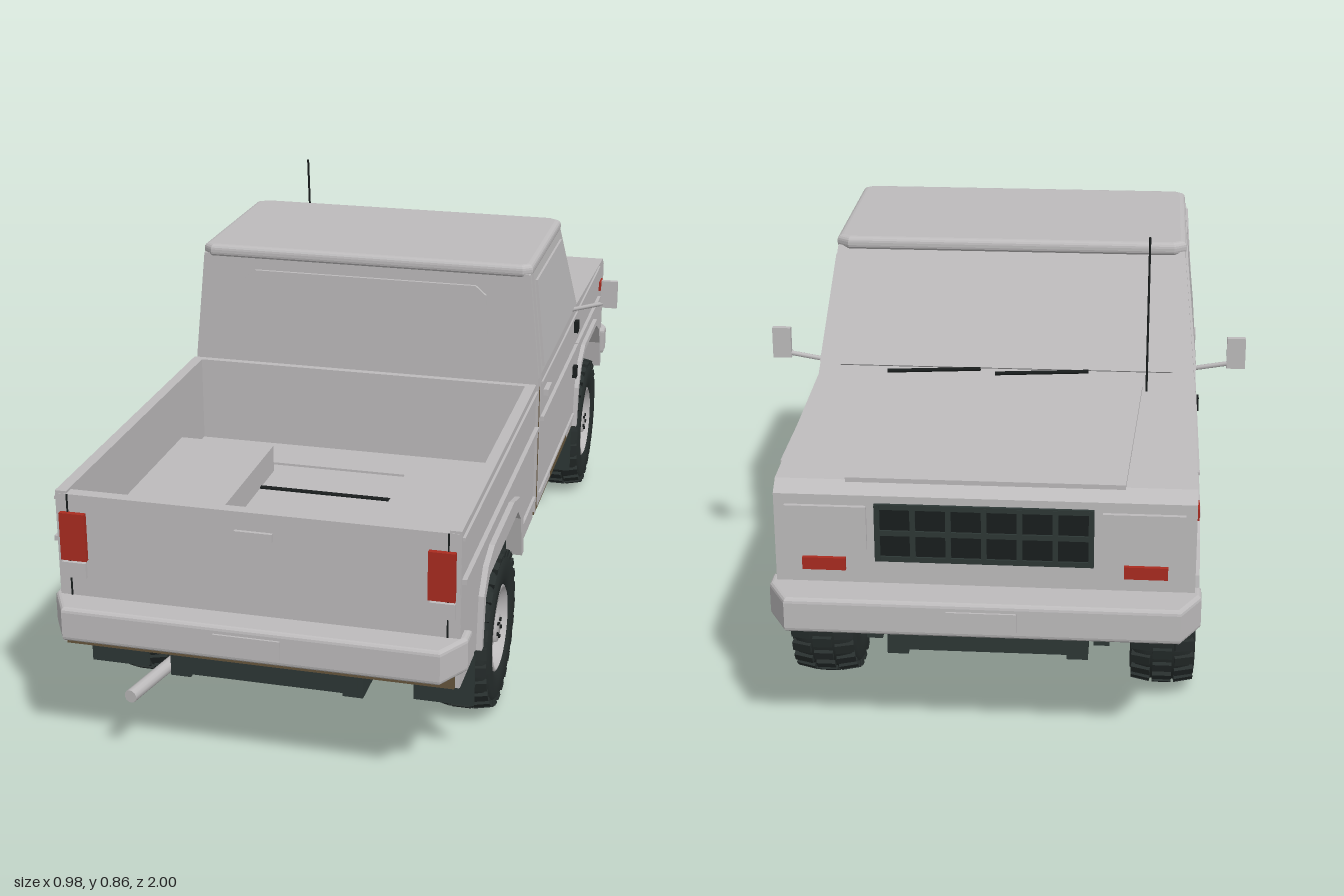
import * as THREE from 'three';

const mat = (name, color) => {
  const m = new THREE.MeshStandardMaterial({ color });
  m.name = name;
  return m;
};

export function createModel() {
  const paint = mat('greyPaint', 0xbdbbbc);
  const dark = mat('darkChassis', 0x2d3735);
  const rubber = mat('tyreRubber', 0x272e2d);
  const red = mat('redLamp', 0xa92b20);
  const brown = mat('brownUnderside', 0x65553c);
  const black = mat('blackTrim', 0x191d1d);
  const truck = new THREE.Group();
  truck.name = 'pickupTruck';

  const add = (name, geo, m, parent = truck) => {
    const mesh = new THREE.Mesh(geo, m);
    mesh.name = name;
    parent.add(mesh);
    return mesh;
  };
  // box from its min and max limits
  const box = (name, m, x0, x1, y0, y1, z0, z1) => {
    const g = new THREE.BoxGeometry(x1 - x0, y1 - y0, z1 - z0);
    g.translate((x0 + x1) / 2, (y0 + y1) / 2, (z0 + z1) / 2);
    return add(name, g, m);
  };
  const pair = (name, m, x0, x1, ...r) => {
    box(name + 'Left', m, x0, x1, ...r);
    box(name + 'Right', m, -x1, -x0, ...r);
  };
  const poly = (pts) => new THREE.Shape(pts.map((p) => new THREE.Vector2(p[0], p[1])));
  const slab = (pts, depth) => new THREE.ExtrudeGeometry(poly(pts), { depth, bevelEnabled: false });
  // side profile of [z, y] points, extruded across x
  const profile = (name, m, pts, x0, x1) =>
    add(name, slab(pts, x1 - x0).rotateY(-Math.PI / 2).translate(x1, 0, 0), m);
  const profilePair = (name, m, pts, x0, x1) => [
    profile(name + 'Left', m, pts, x0, x1), profile(name + 'Right', m, pts, -x1, -x0)];
  // cab sides lean inwards above the waist
  const lean = (mesh) => {
    const p = mesh.geometry.attributes.position;
    for (let i = 0; i < p.count; i++)
      p.setX(i, p.getX(i) * (1 - 0.27 * Math.max(0, p.getY(i) - 0.55)));
    mesh.geometry.computeVertexNormals();
    return mesh;
  };
  const rod = (name, m, a, b, r, seg = 8) => {
    const va = new THREE.Vector3(...a), vb = new THREE.Vector3(...b);
    const mesh = add(name, new THREE.CylinderGeometry(r, r, va.distanceTo(vb), seg), m);
    mesh.position.copy(va).add(vb).multiplyScalar(0.5);
    mesh.quaternion.setFromUnitVectors(new THREE.Vector3(0, 1, 0), vb.sub(va).normalize());
    return mesh;
  };

  // wheel openings, from high z to low z
  const rearArch = [[0.77, 0.235], [0.75, 0.33], [0.715, 0.36], [0.41, 0.36], [0.375, 0.33], [0.35, 0.235]];
  const frontArch = [[-0.434, 0.235], [-0.45, 0.32], [-0.485, 0.37], [-0.54, 0.395], [-0.74, 0.395],
    [-0.79, 0.37], [-0.825, 0.32], [-0.84, 0.25]];
  const rearFlare = [[0.328, 0.235], [0.345, 0.345], [0.39, 0.385], [0.46, 0.402], [0.67, 0.402],
    [0.73, 0.385], [0.77, 0.34], [0.785, 0.235]];
  const frontFlare = [[-0.855, 0.25], [-0.84, 0.33], [-0.8, 0.385], [-0.745, 0.41], [-0.535, 0.41],
    [-0.475, 0.385], [-0.435, 0.33], [-0.42, 0.235]];

  // cargo bed
  profilePair('bedSide', paint, [[0.155, 0.235], [0.155, 0.545], [0.935, 0.545], [0.935, 0.235], ...rearArch], 0.362, 0.384);
  profilePair('rearWheelLiner', dark, [[0.35, 0.4], [0.77, 0.4], ...rearArch], 0.25, 0.362);
  profilePair('rearArchFlare', paint, [...rearArch, ...rearFlare], 0.38, 0.395);
  pair('rearWellWall', dark, 0.245, 0.252, 0.2, 0.4, 0.33, 0.78);
  box('bedFrontWall', paint, -0.363, 0.363, 0.235, 0.545, 0.155, 0.17);
  box('tailgate', paint, -0.383, 0.383, 0.235, 0.54, 0.912, 0.936);
  box('bedFloor', paint, -0.245, 0.245, 0.25, 0.357, 0.17, 0.915);
  box('bedFloorFront', paint, -0.363, 0.363, 0.25, 0.357, 0.17, 0.33);
  box('bedFloorRear', paint, -0.363, 0.363, 0.25, 0.357, 0.78, 0.915);
  box('bedUnderside', dark, -0.24, 0.24, 0.243, 0.25, 0.17, 0.912);
  box('bedRearUnderside', brown, -0.362, 0.362, 0.242, 0.25, 0.81, 0.911);
  pair('wheelBoxInner', paint, 0.155, 0.245, 0.3, 0.415, 0.315, 0.795);
  pair('wheelBoxTop', paint, 0.24, 0.363, 0.4, 0.415, 0.315, 0.795);
  pair('wheelBoxFrontEnd', paint, 0.24, 0.363, 0.3, 0.41, 0.315, 0.335);
  pair('wheelBoxRearEnd', paint, 0.24, 0.363, 0.3, 0.41, 0.775, 0.795);
  for (const z of [0.41, 0.54, 0.67]) box('floorGroove', black, -0.155, 0.155, 0.354, 0.36, z - 0.006, z + 0.006);
  box('floorGrooveRear', black, -0.362, 0.362, 0.354, 0.36, 0.796, 0.806);
  box('floorRidgeFront', paint, -0.362, 0.362, 0.354, 0.362, 0.172, 0.28);
  box('rearValance', brown, -0.375, 0.375, 0.235, 0.262, 0.936, 0.942);
  box('rearValanceEdge', paint, -0.25, 0.25, 0.252, 0.256, 0.94, 0.944);

  // tail details
  pair('tailLamp', red, 0.325, 0.375, 0.41, 0.505, 0.925, 0.946);
  pair('reverseLamp', paint, 0.328, 0.375, 0.374, 0.405, 0.925, 0.944);
  pair('tailSeam', black, 0.359, 0.362, 0.335, 0.54, 0.93, 0.938);
  box('tailgateHandle', paint, -0.036, 0.036, 0.488, 0.504, 0.935, 0.943);
  box('rearPlate', paint, -0.064, 0.064, 0.283, 0.32, 0.99, 1.0);

  // bumpers with chamfered ends and softened edges
  for (const s of [1, -1]) {
    const shape = poly([[-0.389, -0.9 * s], [-0.389, -0.928 * s], [-0.355, -0.988 * s],
      [0.355, -0.988 * s], [0.389, -0.928 * s], [0.389, -0.9 * s]]);
    const g = new THREE.ExtrudeGeometry(shape, { depth: 0.05, bevelThickness: 0.009, bevelSize: 0.008, bevelSegments: 3 });
    add(s > 0 ? 'rearBumper' : 'frontBumper', g.rotateX(-Math.PI / 2).translate(0, 0.276, 0), paint);
  }
  box('frontPlate', paint, -0.064, 0.064, 0.283, 0.32, -1.0, -0.99);
  box('frontValance', brown, -0.34, 0.34, 0.25, 0.27, -0.92, -0.9);

  // cab
  box('cabLower', paint, -0.385, 0.385, 0.24, 0.55, -0.42, 0.095);
  box('cabUnderside', brown, -0.384, 0.384, 0.234, 0.24, -0.42, 0.135);
  box('cabInnerTrim', brown, -0.383, 0.383, 0.24, 0.52, 0.095, 0.099);
  pair('sillMud', brown, 0.38, 0.3865, 0.24, 0.253, -0.31, -0.08);
  lean(profile('cabUpper', paint, [[0.095, 0.55], [0.095, 0.78], [-0.267, 0.78], [-0.42, 0.55]], -0.385, 0.385));
  box('cabBackLower', paint, -0.385, 0.385, 0.235, 0.55, 0.12, 0.133);
  lean(profile('cabBackUpper', paint, [[0.12, 0.55], [0.12, 0.78], [0.133, 0.78], [0.133, 0.55]], -0.385, 0.385));
  const roofShape = poly([[-0.352, -0.115], [-0.34, -0.125], [0.34, -0.125], [0.352, -0.115],
    [0.352, 0.252], [0.335, 0.264], [-0.335, 0.264], [-0.352, 0.252]]);
  const roofGeo = new THREE.ExtrudeGeometry(roofShape, { depth: 0.006, bevelThickness: 0.011, bevelSize: 0.012, bevelSegments: 4 });
  add('roof', roofGeo.rotateX(-Math.PI / 2).translate(0, 0.783, 0), paint);
  const rearGlass = [[-0.275, 0.6], [-0.255, 0.58], [0.255, 0.58], [0.275, 0.6],
    [0.268, 0.73], [0.245, 0.75], [-0.245, 0.75], [-0.268, 0.73]];
  add('rearWindow', slab(rearGlass, 0.009).translate(0, 0, 0.131), paint);
  profilePair('sideWindow', paint, [[0.08, 0.562], [0.08, 0.755], [-0.255, 0.755], [-0.38, 0.562]], 0.382, 0.39).forEach(lean);
  const up = new THREE.Vector3(0, 0.23, 0.153).normalize();
  const out = new THREE.Vector3(0, up.z, -up.y);
  add('windscreen', slab([[-0.34, 0.02], [0.34, 0.02], [0.315, 0.245], [-0.315, 0.245]], 0.008), paint)
    .applyMatrix4(new THREE.Matrix4().makeBasis(new THREE.Vector3(-1, 0, 0), up, out).setPosition(0, 0.55, -0.42));
  for (const x of [-0.17, 0.05]) rod('wiper', black, [x, 0.572, -0.426], [x + 0.19, 0.566, -0.434], 0.004, 6);

  // doors, mirrors and trim
  pair('doorHandle', paint, 0.38, 0.396, 0.487, 0.501, 0.01, 0.06);
  for (const y of [0.385, 0.5]) pair('doorHinge', black, 0.38, 0.395, y - 0.014, y + 0.014, -0.41, -0.39);
  const strip = (name, z0, z1) => {
    pair(name + 'WaistLine', paint, 0.38, 0.393, 0.44, 0.45, z0, z1);
    pair(name + 'ShoulderLine', paint, 0.38, 0.389, 0.525, 0.531, z0, z1);
  };
  strip('bed', 0.157, 0.93);
  strip('door', -0.415, 0.093);
  strip('fender', -0.82, -0.422);
  pair('bedLowerLine', paint, 0.38, 0.39, 0.28, 0.287, 0.157, 0.33);
  pair('doorLowerLine', paint, 0.38, 0.39, 0.265, 0.271, -0.415, 0.093);
  pair('mirror', paint, 0.45, 0.488, 0.565, 0.63, -0.371, -0.359);
  for (const s of [1, -1]) rod('mirrorArm', paint, [0.375 * s, 0.555, -0.35], [0.455 * s, 0.574, -0.363], 0.005);
  rod('antenna', black, [-0.288, 0.545, -0.465], [-0.288, 0.862, -0.437], 0.0025, 6);

  // front end
  profilePair('frontFender', paint, [[-0.42, 0.235], [-0.42, 0.55], [-0.895, 0.53], [-0.92, 0.51], [-0.92, 0.26], ...[...frontArch].reverse()], 0.345, 0.385);
  profilePair('frontWheelLiner', dark, [[-0.84, 0.46], [-0.434, 0.46], ...frontArch], 0.25, 0.345);
  profilePair('frontArchFlare', paint, [...frontArch, ...frontFlare], 0.38, 0.395);
  profile('hoodAndNose', paint, [[-0.42, 0.55], [-0.895, 0.53], [-0.92, 0.51], [-0.92, 0.27], [-0.86, 0.27], [-0.86, 0.46], [-0.42, 0.46]], -0.345, 0.345);
  box('engineBay', dark, -0.252, 0.252, 0.24, 0.46, -0.86, -0.42);
  const hoodPanel = add('hoodPanel', slab([[-0.28, -0.22], [0.28, -0.22], [0.255, 0.23], [-0.255, 0.23]], 0.009), paint);
  hoodPanel.rotation.x = -Math.PI / 2 - 0.042;
  hoodPanel.position.set(0, 0.538, -0.672);
  box('grille', black, -0.195, 0.195, 0.385, 0.495, -0.925, -0.918);
  for (let i = 0; i <= 6; i++) box('grilleBar', dark, -0.2 + i * 0.065, -0.19 + i * 0.065, 0.385, 0.495, -0.93, -0.923);
  for (const y of [0.383, 0.435, 0.487]) box('grilleSlat', dark, -0.2, 0.2, y, y + 0.01, -0.929, -0.923);
  pair('headlamp', paint, 0.215, 0.365, 0.405, 0.49, -0.928, -0.919);
  pair('frontIndicator', red, 0.255, 0.335, 0.362, 0.386, -0.928, -0.919);
  pair('sideMarker', red, 0.38, 0.39, 0.459, 0.482, -0.876, -0.834);

  // ladder chassis
  pair('chassisRail', dark, 0.15, 0.19, 0.16, 0.22, -0.87, 0.885);
  pair('chassisRailMiddle', dark, 0.148, 0.194, 0.146, 0.222, -0.46, 0.24);
  for (const z of [-0.85, -0.46, -0.2, 0.08, 0.3, 0.72, 0.87]) box('crossMember', dark, -0.18, 0.18, 0.168, 0.215, z - 0.018, z + 0.018);
  box('gearbox', dark, -0.07, 0.07, 0.15, 0.25, -0.6, -0.2);
  rod('driveShaft', dark, [0, 0.18, -0.2], [0, 0.17, 0.56], 0.015);
  rod('exhaustPipe', paint, [-0.21, 0.146, -0.11], [-0.21, 0.146, 0.8], 0.013, 12);
  rod('muffler', paint, [-0.215, 0.152, 0.02], [-0.215, 0.152, 0.2], 0.019, 12);
  rod('tailPipe', paint, [-0.21, 0.146, 0.79], [-0.245, 0.146, 0.96], 0.013, 12);
  pair('rearMudFlap', dark, 0.268, 0.385, 0.125, 0.24, 0.795, 0.803);
  pair('frontMudFlap', dark, 0.268, 0.385, 0.125, 0.24, -0.405, -0.397);
  for (const [z, dx] of [[0.56, 0], [-0.63, 0.085]]) {
    rod('axle', dark, [-0.3, 0.17, z], [0.3, 0.17, z], 0.02, 10);
    const diff = add('differential', new THREE.SphereGeometry(0.05, 10, 6), dark);
    diff.position.set(dx, 0.168, z);
    pair('leafSpring', dark, 0.2, 0.23, 0.186, 0.2, z - 0.23, z + 0.23);
  }

  // wheels: axis along local y, outer face at +y
  const lathe = (pts, n) => new THREE.LatheGeometry(pts.map((p) => new THREE.Vector2(p[0], p[1])), n);
  const tyreGeo = lathe([[0.08, -0.05], [0.1, -0.061], [0.137, -0.063], [0.152, -0.052], [0.158, -0.03],
    [0.158, 0.03], [0.152, 0.052], [0.137, 0.063], [0.1, 0.061], [0.084, 0.048], [0.08, -0.05]], 32);
  const rimGeo = lathe([[0.001, -0.03], [0.082, -0.05], [0.082, 0.045], [0.088, 0.056], [0.082, 0.059], [0.073, 0.037],
    [0.066, 0.032], [0.042, 0.044], [0.03, 0.044], [0.028, 0.055], [0.001, 0.055]], 28);
  const knobGeo = new THREE.BoxGeometry(0.016, 0.037, 0.022);
  const holeGeo = new THREE.CylinderGeometry(0.005, 0.005, 0.006, 8);
  const nutGeo = new THREE.CylinderGeometry(0.004, 0.004, 0.006, 6);
  for (const s of [1, -1]) for (const z of [0.56, -0.63]) {
    const wheel = new THREE.Group();
    wheel.name = (z > 0 ? 'rear' : 'front') + 'Wheel' + (s > 0 ? 'Left' : 'Right');
    wheel.position.set(0.331 * s, 0.17, z);
    wheel.rotation.z = -s * Math.PI / 2;
    add('tyre', tyreGeo, rubber, wheel);
    add('rim', rimGeo, paint, wheel);
    // parts spaced round the wheel, tipped to follow the shoulder
    const ring = (name, geo, m, n, r, y, a0 = 0, tip = 0) => {
      for (let i = 0; i < n; i++) {
        const a = a0 + (i / n) * Math.PI * 2;
        const part = add(name, geo, m, wheel);
        part.position.set(Math.cos(a) * r, y, Math.sin(a) * r);
        part.rotation.set(0, -a, tip);
      }
    };
    ring('treadOuter', knobGeo, rubber, 26, 0.153, 0.041, 0, 0.2);
    ring('treadMiddle', knobGeo, rubber, 26, 0.157, 0, 0.12);
    ring('treadInner', knobGeo, rubber, 26, 0.153, -0.041, 0, -0.2);
    ring('rimHole', holeGeo, black, 8, 0.058, 0.036);
    ring('wheelNut', nutGeo, black, 5, 0.018, 0.056);
    truck.add(wheel);
  }
  return truck;
}
